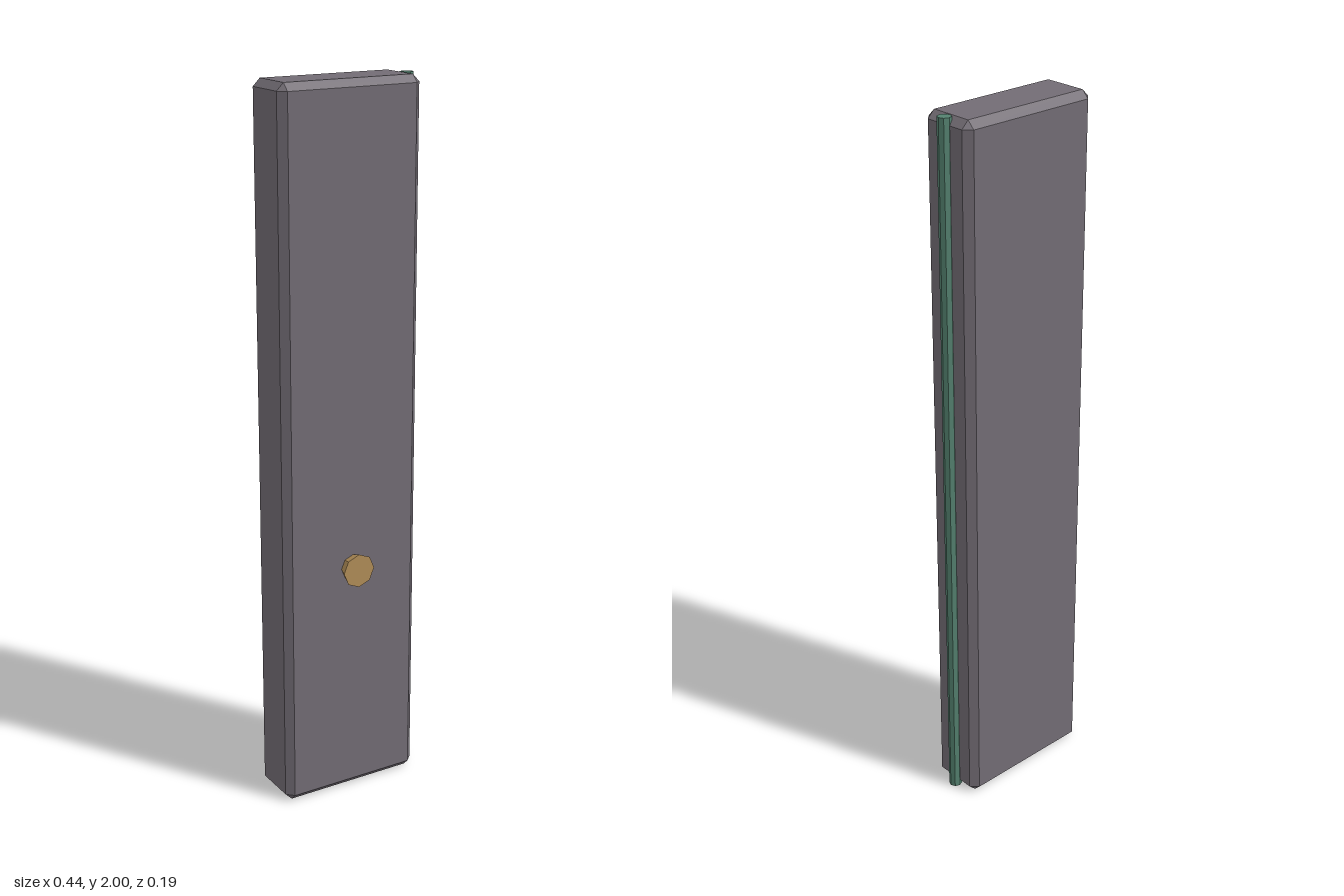
import * as THREE from 'three';
import { ConvexGeometry } from 'three/addons/geometries/ConvexGeometry.js';

const flat = (name, color) => Object.assign(new THREE.MeshStandardMaterial({ color, flatShading: true }), { name });

// Box with all edges chamfered by c, centred on the origin
function chamferBox(w, h, d, c) {
  const points = [];
  for (const sx of [-1, 1]) for (const sy of [-1, 1]) for (const sz of [-1, 1]) {
    const x = w / 2, y = h / 2, z = d / 2;
    points.push(
      new THREE.Vector3(sx * x, sy * (y - c), sz * (z - c)),
      new THREE.Vector3(sx * (x - c), sy * y, sz * (z - c)),
      new THREE.Vector3(sx * (x - c), sy * (y - c), sz * z),
    );
  }
  return new ConvexGeometry(points);
}

export function createModel() {
  const group = new THREE.Group();
  group.name = 'door';
  const add = (name, geometry, material, x, y, z) => {
    const mesh = new THREE.Mesh(geometry, material);
    mesh.name = name;
    mesh.position.set(x, y, z);
    group.add(mesh);
    return mesh;
  };

  // Door slab
  add('doorPanel', chamferBox(0.42, 2, 0.162, 0.02), flat('grey panel', 0x726c74), -0.01, 1, -0.017);

  // Full-height hinge rod, half sunk into the side
  add('hingeRod', new THREE.CylinderGeometry(0.0185, 0.0185, 2, 8), flat('green rod', 0x558270), 0.201, 1, -0.017);

  // Knob flaring towards the front
  const knob = add('knob', new THREE.CylinderGeometry(0.048, 0.036, 0.034, 8), flat('brass', 0xb08d57), -0.01, 0.68, 0.08);
  knob.rotation.x = Math.PI / 2;

  return group;
}
